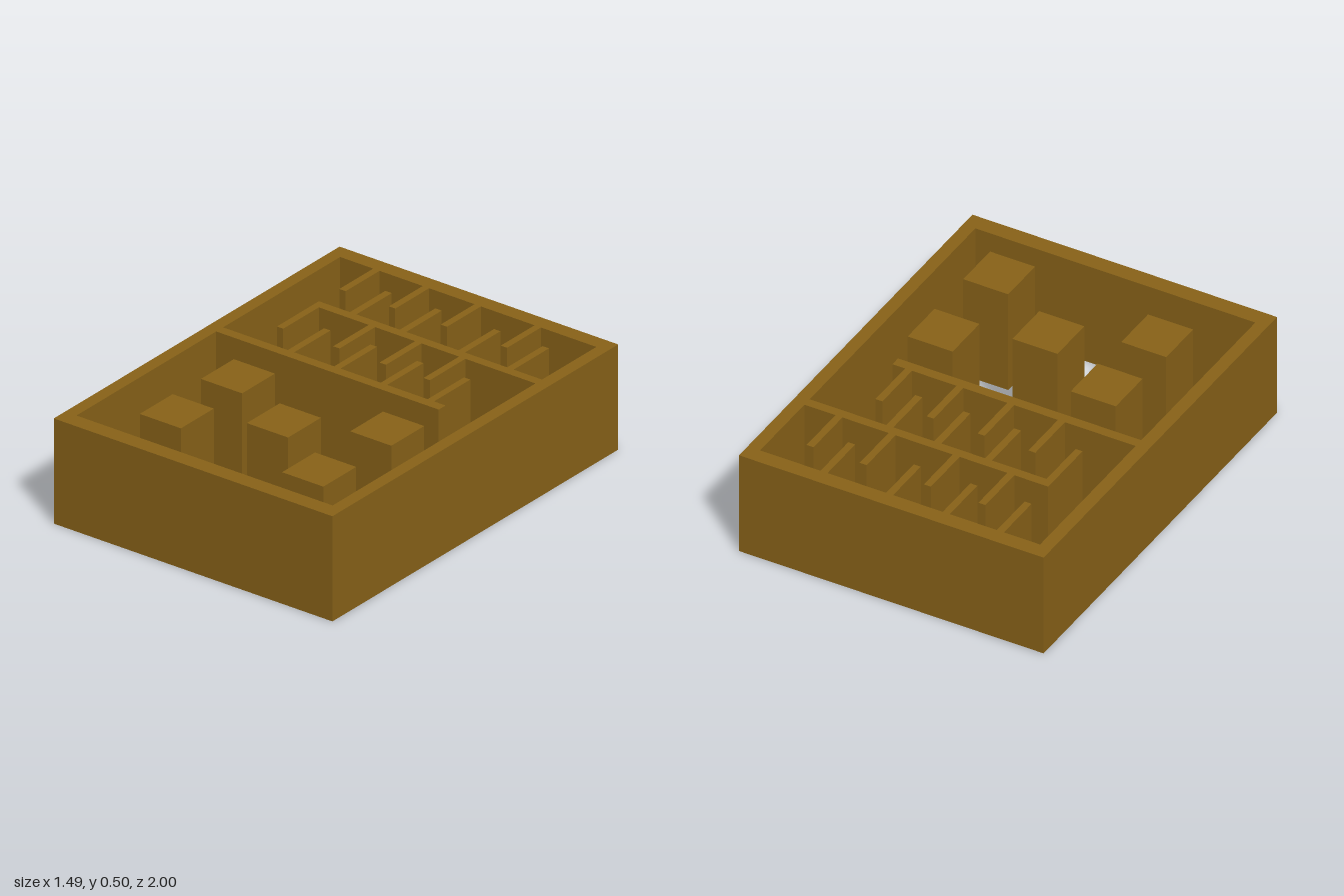
import * as THREE from 'three';

const material = new THREE.MeshStandardMaterial({ color: 0x886218, flatShading: true });
const HEIGHT = 0.503;

// Upright block standing on the ground, given by its plan extents
function block(name, x0, x1, z0, z1) {
  const mesh = new THREE.Mesh(new THREE.BoxGeometry(x1 - x0, HEIGHT, z1 - z0), material);
  mesh.position.set((x0 + x1) / 2, HEIGHT / 2, (z0 + z1) / 2);
  mesh.name = name;
  return mesh;
}

// Row of thin baffles sharing the same z range
function baffleRow(name, xs, z0, z1) {
  const row = new THREE.Group();
  row.name = name;
  for (const x of xs) row.add(block('baffle', x - 0.017, x + 0.017, z0, z1));
  return row;
}

// Counter-clockwise rectangle in plan, with z mapped to -y of the shape
function planRectangle(x0, x1, z0, z1) {
  return [[x0, -z1], [x1, -z1], [x1, -z0], [x0, -z0]].map(([x, y]) => new THREE.Vector2(x, y));
}

export function createModel() {
  const model = new THREE.Group();
  model.name = 'mazeTank';

  // Outer walls, open above and below
  const outer = new THREE.Shape(planRectangle(-0.745, 0.745, -1, 1));
  outer.holes.push(new THREE.Path(planRectangle(-0.685, 0.685, -0.925, 0.92).reverse()));
  const frame = new THREE.Mesh(
    new THREE.ExtrudeGeometry(outer, { depth: HEIGHT, bevelEnabled: false }).rotateX(-Math.PI / 2),
    material,
  );
  frame.name = 'outerWalls';
  model.add(frame);

  // Two partitions leaving gaps at opposite ends
  model.add(block('rearPartition', -0.508, 0.685, -0.545, -0.5));
  model.add(block('middlePartition', -0.685, 0.505, -0.106, -0.058));

  // Staggered baffles in the two channels
  model.add(baffleRow('backWallBaffles', [-0.491, -0.226, 0.051, 0.372], -0.925, -0.688));
  model.add(baffleRow('rearPartitionBackBaffles', [-0.325, -0.058, 0.256, 0.516], -0.793, -0.545));
  model.add(baffleRow('rearPartitionFrontBaffles', [-0.491, -0.19, 0.058, 0.293], -0.5, -0.251));
  model.add(baffleRow('middlePartitionBaffles', [-0.322, -0.074, 0.175, 0.426], -0.36, -0.106));

  // Free-standing pillars in the front chamber
  const pillars = new THREE.Group();
  pillars.name = 'pillars';
  for (const [x, z] of [[-0.36, 0.215], [0.438, 0.215], [0.043, 0.421], [-0.37, 0.63], [0.438, 0.691]]) {
    pillars.add(block('pillar', x - 0.11, x + 0.11, z - 0.115, z + 0.115));
  }
  model.add(pillars);

  return model;
}
